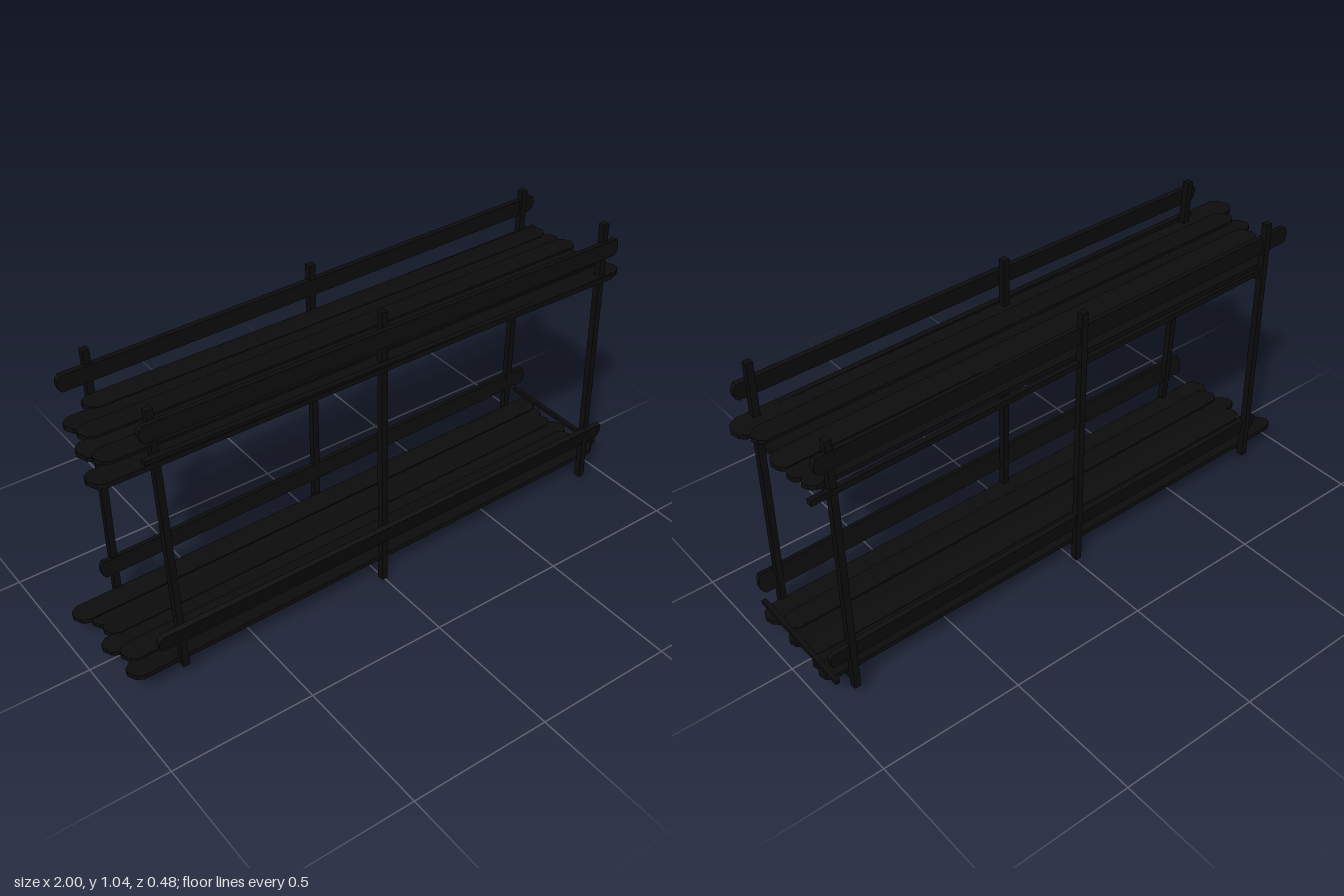
import * as THREE from 'three';

const material = new THREE.MeshStandardMaterial({ color: 0x0c0c0c, flatShading: true, side: THREE.DoubleSide });

function add(group, name, geometry) {
  const mesh = new THREE.Mesh(geometry, material);
  mesh.name = name;
  group.add(mesh);
  return mesh;
}

// Place a piece modelled along local x so that it runs from a to b, rolled about its length
function span(mesh, a, b, roll = 0) {
  const from = new THREE.Vector3(...a), to = new THREE.Vector3(...b);
  mesh.position.copy(from).add(to).multiplyScalar(0.5);
  mesh.quaternion.setFromUnitVectors(new THREE.Vector3(1, 0, 0), to.sub(from).normalize());
  mesh.rotateX(roll);
}

function bar(group, name, a, b, w, h) {
  const length = new THREE.Vector3(...a).distanceTo(new THREE.Vector3(...b));
  span(add(group, name, new THREE.BoxGeometry(length, h, w)), a, b);
}

// Board with rough, rounded ends: outline in length and width, extruded to its thickness
function boardGeometry(length, width, thickness, ragged) {
  const l = length / 2, w = width / 2, shape = new THREE.Shape();
  shape.moveTo(-l + ragged, -w);
  shape.lineTo(l - ragged, -w);
  shape.lineTo(l - ragged * 0.3, -w * 0.65);
  shape.lineTo(l, -w * 0.1);
  shape.lineTo(l - ragged * 0.2, w * 0.6);
  shape.lineTo(l - ragged * 0.7, w);
  shape.lineTo(-l + ragged * 0.8, w);
  shape.lineTo(-l + ragged * 0.15, w * 0.6);
  shape.lineTo(-l, w * 0.1);
  shape.lineTo(-l + ragged * 0.4, -w * 0.7);
  shape.closePath();
  const geometry = new THREE.ExtrudeGeometry(shape, { depth: thickness, bevelEnabled: false });
  return geometry.translate(0, 0, -thickness / 2);
}

// Rail: a board standing on edge
function rail(group, name, a, b, height, roll) {
  const length = new THREE.Vector3(...a).distanceTo(new THREE.Vector3(...b));
  span(add(group, name, boardGeometry(length, height, 0.018, 0.015)), a, b, roll);
}

// Shelf of loose planks: each row is [z, width, left end, right end, lift]
function shelf(name, yLeft, yRight, planks) {
  const group = new THREE.Group();
  group.name = name;
  planks.forEach(([z, width, x0, x1, lift], i) => {
    const geometry = boardGeometry(x1 - x0, width, 0.016, 0.035).rotateX(-Math.PI / 2);
    const skew = -0.02;
    span(add(group, 'plank', geometry),
      [x0, yLeft + lift, z - skew / 2], [x1, yRight + lift, z + skew / 2], (i % 3 - 1) * 0.06);
  });
  return group;
}

export function createModel() {
  const model = new THREE.Group();
  model.name = 'rusticShelf';

  // Six slightly crooked posts: bottom point, top point
  const posts = [
    ['frontPost', [-0.775, 0.065, 0.21], [-0.797, 1.015, 0.172]],
    ['frontPost', [0.0, 0.0, 0.2], [0.008, 1.025, 0.163]],
    ['frontPost', [0.903, 0.02, 0.2], [0.911, 1.037, 0.172]],
    ['backPost', [-0.785, 0.07, -0.2], [-0.795, 1.015, -0.194]],
    ['backPost', [0.012, 0.033, -0.207], [0.006, 1.015, -0.208]],
    ['backPost', [0.905, 0.05, -0.221], [0.91, 1.0, -0.218]],
  ];
  posts.forEach(([name, a, b]) => bar(model, name, a, b, 0.023, 0.023));

  // Shelves
  model.add(shelf('upperShelf', 0.85, 0.837, [
    [0.165, 0.085, -1.0, 1.0, 0.002],
    [0.095, 0.075, -0.94, 0.975, 0.008],
    [0.035, 0.085, -0.96, 0.965, 0.0],
    [-0.035, 0.08, -0.92, 0.99, 0.006],
    [-0.1, 0.075, -0.93, 0.98, 0.0],
    [-0.16, 0.07, -0.84, 0.97, 0.004],
  ]));
  model.add(shelf('lowerShelf', 0.09, 0.097, [
    [0.16, 0.08, -0.95, 0.99, -0.003],
    [0.09, 0.08, -0.93, 0.96, 0.004],
    [0.025, 0.075, -0.96, 0.985, -0.002],
    [-0.04, 0.075, -0.92, 0.965, 0.0],
    [-0.1, 0.07, -0.93, 0.98, -0.004],
    [-0.15, 0.075, -0.97, 0.99, 0.003],
  ]));

  // Long rails above each shelf
  rail(model, 'upperFrontRail', [-0.845, 0.955, 0.193], [0.965, 0.945, 0.187], 0.058, -0.05);
  rail(model, 'upperBackRail', [-0.9, 0.937, -0.184], [0.965, 0.935, -0.226], 0.058, 0.05);
  rail(model, 'lowerFrontRail', [-0.865, 0.205, 0.22], [0.975, 0.197, 0.2], 0.07, 0.22);
  rail(model, 'lowerBackRail', [-0.84, 0.193, -0.187], [0.985, 0.205, -0.22], 0.06, -0.1);

  // Long bearers along the edges of the upper shelf
  bar(model, 'frontBearer', [-0.84, 0.865, 0.2], [0.95, 0.838, 0.19], 0.02, 0.02);
  bar(model, 'backBearer', [-0.82, 0.835, -0.185], [0.985, 0.826, -0.225], 0.018, 0.02);

  // Cross bars tying front and back posts
  for (const [x, zBack] of [[-0.79, -0.2], [0.006, -0.21], [0.908, -0.22]]) {
    bar(model, 'upperCrossBar', [x, 0.812, 0.175], [x, 0.812, zBack], 0.018, 0.02);
    bar(model, 'lowerCrossBar', [x, 0.082, 0.2], [x, 0.082, zBack], 0.016, 0.014);
  }
  bar(model, 'endBar', [0.97, 0.132, 0.19], [0.975, 0.127, -0.24], 0.016, 0.014);

  return model;
}
